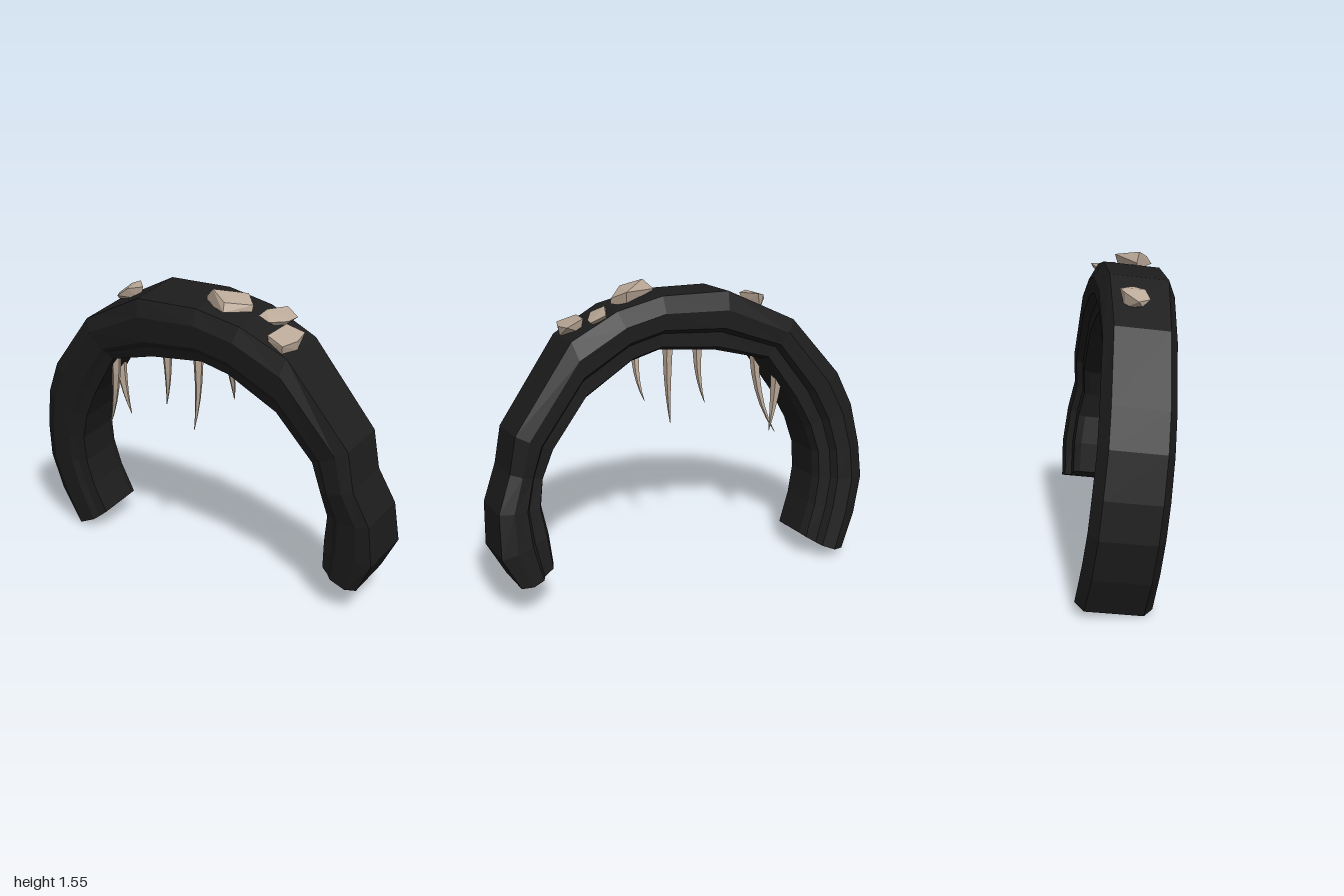
import * as THREE from 'three';
import { ConvexGeometry } from 'three/addons/geometries/ConvexGeometry.js';

const TILT = 0.125; // the arch leans forward

// Arch stations, left foot to right foot:
// outer x, y, inner x, y, rim width, half depth, shift in z
const STATIONS = [
  [-0.87, 0.022, -0.65, 0.13, 0.76, 0.18, -0.005], [-0.95, 0.2, -0.71, 0.29, 0.76, 0.178, 0],
  [-1, 0.4, -0.74, 0.43, 0.76, 0.176, 0], [-0.99, 0.58, -0.74, 0.57, 0.76, 0.176, 0],
  [-0.95, 0.8, -0.7, 0.71, 0.76, 0.174, 0], [-0.87, 0.98, -0.62, 0.87, 0.76, 0.174, -0.003],
  [-0.62, 1.29, -0.47, 1.1, 0.76, 0.172, -0.005], [-0.26, 1.475, -0.2, 1.18, 0.78, 0.182, 0],
  [0.09, 1.49, 0.1, 1.22, 0.78, 0.18, 0], [0.33, 1.445, 0.25, 1.185, 0.78, 0.178, -0.003],
  [0.57, 1.33, 0.5, 1.04, 0.76, 0.168, -0.01], [0.88, 0.92, 0.68, 0.81, 0.82, 0.15, -0.01],
  [0.915, 0.73, 0.735, 0.67, 0.82, 0.15, 0.015], [0.99, 0.55, 0.76, 0.54, 0.85, 0.15, 0],
  [1, 0.33, 0.735, 0.39, 0.9, 0.152, -0.005], [0.91, 0.16, 0.72, 0.23, 0.85, 0.146, 0],
];

// Cross-section: depth from outer to inner edge, then sideways (+ is front)
const PROFILE = [
  [0, 1], [0.27, 1], [0.7, 0.98], [0.82, 0.87], [1, 0.8],
  [1, -0.42], [0.93, -0.66], [0.68, -0.7], [0.6, -0.93], [0.3, -1], [0, -1],
];

function flat(geometry) {
  const g = geometry.index ? geometry.toNonIndexed() : geometry;
  g.computeVertexNormals();
  return g;
}

function archGeometry() {
  const n = PROFILE.length;
  const last = STATIONS.length - 1;
  const positions = [];
  const index = [];
  const addPoint = ([ox, oy, ix, iy, , , shift], t, w, drop) => {
    const y = oy + (iy - oy) * t;
    positions.push(ox + (ix - ox) * t, y - TILT * w - drop, -0.09 + TILT * y + shift + w);
  };
  STATIONS.forEach((s, i) => {
    const end = i === 0 || i === last;
    for (const [t, side] of PROFILE) {
      const w = s[5] * side * (t === 0 ? s[4] : 1);
      addPoint(s, t, w, end ? 0.08 * t * (1 - t) : 0);
    }
  });
  for (let i = 0; i < last; i++) {
    for (let k = 0; k < n; k++) {
      const a = i * n + k, a2 = i * n + (k + 1) % n;
      index.push(a, a2, a2 + n, a, a2 + n, a + n);
    }
  }
  // End caps
  const c0 = positions.length / 3;
  addPoint(STATIONS[0], 0.5, 0, 0.02);
  addPoint(STATIONS[last], 0.5, 0, 0.02);
  for (let k = 0; k < n; k++) {
    const k2 = (k + 1) % n;
    index.push(c0, k2, k, c0 + 1, last * n + k, last * n + k2);
  }
  const g = new THREE.BufferGeometry();
  g.setAttribute('position', new THREE.Float32BufferAttribute(positions, 3));
  g.setIndex(index);
  return flat(g);
}

// Spike bent along a curve from root to tip, staying broad before it narrows
function fangGeometry(root, mid, tip, radius) {
  const curve = new THREE.QuadraticBezierCurve3(
    new THREE.Vector3(...root), new THREE.Vector3(...mid), new THREE.Vector3(...tip));
  const g = new THREE.CylinderGeometry(radius, radius, 1, 5, 5);
  const p = g.attributes.position;
  for (let i = 0; i < p.count; i++) {
    const t = p.getY(i) + 0.5;
    const taper = 1 - 0.95 * t ** 1.3;
    const c = curve.getPoint(t);
    // The spike hangs down, so mirror x to keep faces outward
    p.setXYZ(i, c.x - p.getX(i) * taper, c.y, c.z + p.getZ(i) * taper);
  }
  return flat(g);
}

const FANGS = [
  [[-0.175, 1.22, 0.12], [-0.16, 1.02, 0.12], [-0.2, 0.87, 0.09], 0.027],
  [[0, 1.23, 0.1], [0.012, 0.98, 0.09], [-0.015, 0.78, 0.11], 0.028],
  [[0.18, 1.23, 0.1], [0.195, 1.06, 0.07], [0.165, 0.96, 0.02], 0.023],
  [[-0.57, 1.0, 0.0], [-0.56, 0.85, 0.0], [-0.52, 0.7, -0.02], 0.032],
  [[-0.5, 1.08, 0.12], [-0.51, 0.82, 0.11], [-0.6, 0.65, 0.06], 0.027],
];

// Corner points of the angular chips on the crown
const CHIPS = [
  [[-0.515, 1.395, 0.06], [-0.48, 1.435, 0.0], [-0.44, 1.45, -0.02], [-0.37, 1.447, 0.05],
    [-0.43, 1.44, 0.1], [-0.48, 1.4, 0.12], [-0.5, 1.37, 0.08], [-0.39, 1.38, 0.05], [-0.46, 1.36, 0.0]],
  [[0.07, 1.5, 0.12], [0.12, 1.55, 0.14], [0.25, 1.525, 0.03], [0.31, 1.49, 0.08],
    [0.31, 1.46, 0.09], [0.23, 1.475, 0.215], [0.22, 1.515, 0.19], [0.08, 1.47, 0.13], [0.24, 1.45, 0.05]],
  [[0.34, 1.445, 0.08], [0.36, 1.47, 0.04], [0.4, 1.46, -0.08], [0.47, 1.425, -0.06],
    [0.46, 1.42, 0.01], [0.41, 1.43, 0.1], [0.36, 1.4, 0.0], [0.42, 1.38, 0.02]],
  [[0.455, 1.4, 0.18], [0.47, 1.42, 0.04], [0.56, 1.39, 0.02], [0.575, 1.375, 0.11],
    [0.55, 1.37, 0.2], [0.57, 1.33, 0.1], [0.54, 1.33, 0.19], [0.46, 1.37, 0.18], [0.48, 1.35, 0.05]],
];

export function createModel() {
  const model = new THREE.Group();
  const black = new THREE.MeshStandardMaterial({ color: 0x1d1d1e });
  black.name = 'charcoal';
  const bone = new THREE.MeshStandardMaterial({ color: 0xbaa897 });
  bone.name = 'bone';
  const add = (name, geometry, material) => {
    const mesh = new THREE.Mesh(geometry, material);
    mesh.name = name;
    model.add(mesh);
  };

  add('arch', archGeometry(), black);
  FANGS.forEach((f, i) => add(`fang${i + 1}`, fangGeometry(...f), bone));
  CHIPS.forEach((pts, i) => {
    const points = pts.map((p) => new THREE.Vector3(...p));
    add(`chip${i + 1}`, flat(new ConvexGeometry(points)), bone);
  });
  return model;
}
